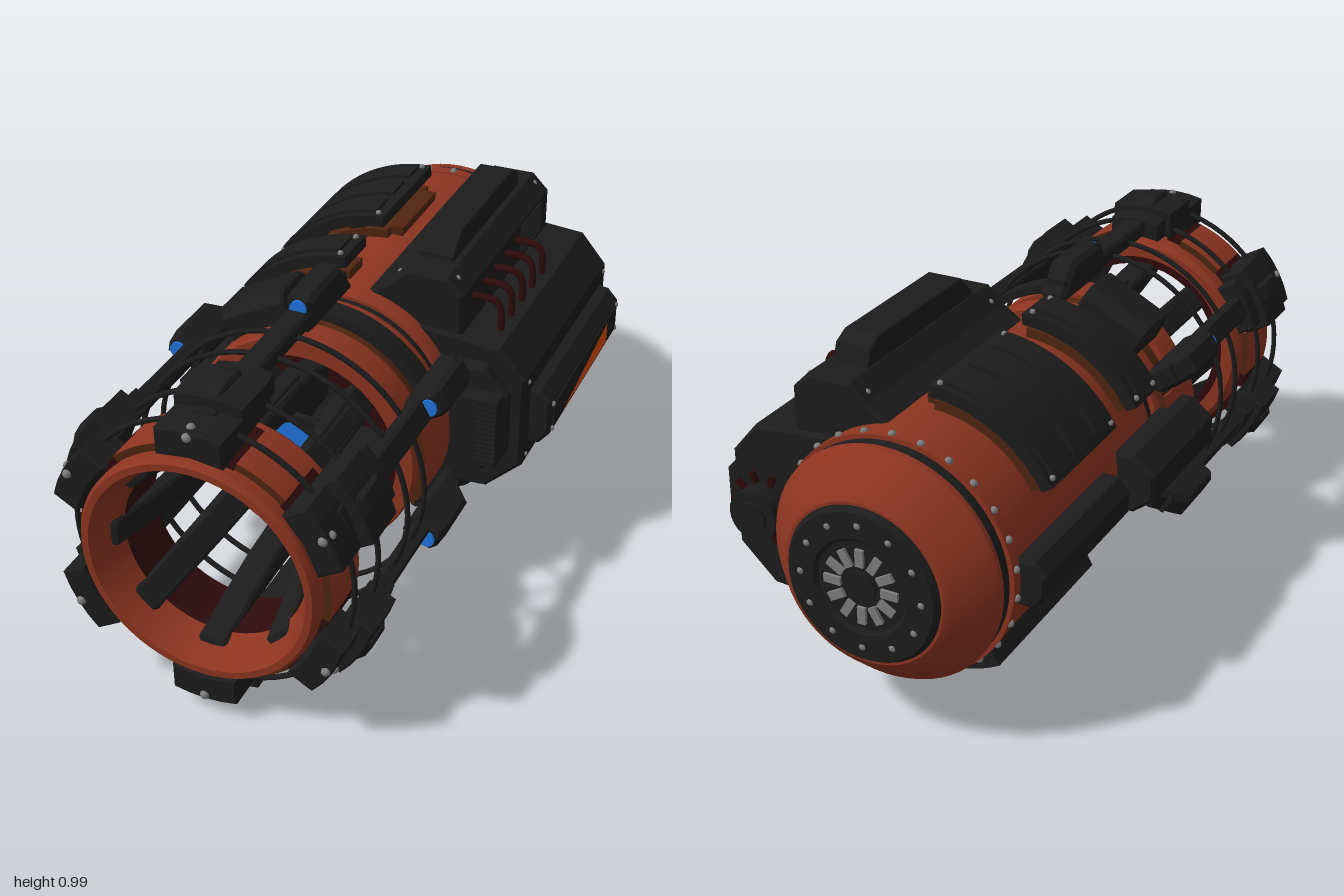
import * as THREE from 'three';
import { toCreasedNormals } from 'three/addons/utils/BufferGeometryUtils.js';

const mat = (name, color) => { const m = new THREE.MeshStandardMaterial({ color }); m.name = name; return m; };
const paint = mat('rustPaint', 0x8c3420), dark = mat('charcoal', 0x1c1c1c), brown = mat('brown', 0x502510),
  red = mat('darkRed', 0x2e0b0c), steel = mat('steel', 0x7e7e7e), blue = mat('blue', 0x1f74de), signal = mat('signalOrange', 0xdc4a08);

function add(parent, name, geo, material, x = 0, y = 0, z = 0) {
  const m = new THREE.Mesh(geo, material);
  m.name = name; m.position.set(x, y, z); parent.add(m);
  return m;
}
const box = (w, h, d) => new THREE.BoxGeometry(w, h, d);
const poly = pts => new THREE.Shape(pts.map(p => new THREE.Vector2(p[0], p[1])));
// bevelled prism along z
function prism(pts, z0, z1, b = 0.01) {
  const g = new THREE.ExtrudeGeometry(poly(pts), { depth: z1 - z0 - 2 * b, bevelEnabled: b > 0, bevelSize: b, bevelThickness: b, bevelOffset: -b, bevelSegments: 1 });
  return g.translate(0, 0, z0 + b);
}
// profile in (radius, z), extruded sideways around the radial +x direction
function radialPrism(pts, w, b = 0.008) {
  return prism(pts, -w / 2, w / 2, b).rotateX(Math.PI / 2);
}
// clamp block with parallel sides and a domed outer face
function saddle(r0, r1, h, z0, z1) {
  return prism([[r0, -h], [r1 - 0.012, -h], [r1 - 0.003, -h / 2], [r1, 0], [r1 - 0.003, h / 2], [r1 - 0.012, h], [r0, h], [r0 + 0.012, 0]], z0, z1, 0.005);
}
// curved plate from angle a0 to a1 (degrees)
function arc(r0, r1, a0, a1, z0, z1) {
  const s = new THREE.Shape(), k = Math.PI / 180;
  s.absarc(0, 0, r1, a0 * k, a1 * k, false);
  s.absarc(0, 0, r0, a1 * k, a0 * k, true);
  const g = new THREE.ExtrudeGeometry(s, { depth: z1 - z0, bevelEnabled: false, curveSegments: 20 });
  return toCreasedNormals(g.translate(0, 0, z0), 0.5);
}
// turned part around z, profile in (radius, z)
const lathe = pts => toCreasedNormals(new THREE.LatheGeometry(pts.map(p => new THREE.Vector2(p[0], p[1])), 64).rotateX(Math.PI / 2), 0.45);
const rod = (r, len, n = 24) => new THREE.CylinderGeometry(r, r, len, n).rotateX(Math.PI / 2);
const bolt = (r = 0.012) => new THREE.SphereGeometry(r, 8, 6);
function around(parent, n, start, build) {
  for (let i = 0; i < n; i++) {
    const g = new THREE.Group();
    g.rotation.z = start + i * 2 * Math.PI / n;
    parent.add(g); build(g, i);
  }
}

export function createModel() {
  const model = new THREE.Group();
  const core = new THREE.Group();
  core.name = 'core'; core.position.set(-0.08, 0.49, 0);
  model.add(core);

  // main barrel, rear cap and rings
  add(core, 'barrel', lathe([[0, -0.8], [0.345, -0.8], [0.345, 0.03], [0.335, 0.06], [0, 0.06]]), paint);
  add(core, 'rearFlange', lathe([[0.3, -0.825], [0.35, -0.825], [0.35, -0.79], [0.34, -0.79]]), paint);
  add(core, 'rearGroove', rod(0.337, 0.06, 48), dark, 0, 0, -0.845);
  add(core, 'rearCap', lathe([[0, -0.982], [0.235, -0.982], [0.255, -0.97], [0.33, -0.89], [0.34, -0.875], [0.34, -0.86], [0.325, -0.853], [0, -0.853]]), paint);
  add(core, 'neck', rod(0.325, 0.1, 48), dark, 0, 0, 0.08);
  add(core, 'middleCore', lathe([[0.29, 0.1], [0.328, 0.1], [0.328, 0.34], [0.29, 0.34]]), brown);
  for (const [z0, z1] of [[0.1, 0.185], [0.245, 0.35]])
    add(core, 'middleHoop', lathe([[0.32, z0], [0.34, z0], [0.345, z0 + 0.01], [0.345, z1 - 0.01], [0.34, z1], [0.29, z1]]), paint);
  add(core, 'middleLiner', lathe([[0.29, 0.349], [0.288, 0.1]]), red);
  add(core, 'frontRing', lathe([[0.29, 0.73], [0.33, 0.73], [0.345, 0.75], [0.345, 0.985], [0.335, 1], [0.315, 1], [0.308, 0.985], [0.268, 0.89]]), paint);
  add(core, 'frontRingLiner', lathe([[0.268, 0.89], [0.265, 0.73], [0.29, 0.73]]), red);
  add(core, 'innerBulkhead', rod(0.288, 0.08, 48), red, 0, 0, 0.16);
  add(core, 'innerStep', lathe([[0.2, 0.19], [0.225, 0.19], [0.225, 0.24], [0.2, 0.24], [0.19, 0.19]]), red);

  // rear plate with spokes
  add(core, 'rearPlate', lathe([[0, -0.99], [0.13, -0.99], [0.14, -1], [0.215, -1], [0.23, -0.978]]), dark);
  add(core, 'rearHub', rod(0.045, 0.02), dark, 0, 0, -0.99);
  around(core, 12, 0, g => {
    add(g, 'rearSpoke', box(0.05, 0.024, 0.014), steel, 0.085, 0, -0.992);
    add(g, 'rearBolt', bolt(0.012), steel, 0.18, 0, -0.994);
  });
  around(core, 26, 0.1, g => add(g, 'flangeBolt', bolt(0.011), steel, 0.35, 0, -0.808));

  // emitter and its eight curved arms
  add(core, 'emitterHousing', lathe([[0.13, 0.2], [0.13, 0.34], [0.11, 0.38], [0.088, 0.38], [0.085, 0.35]]), dark);
  add(core, 'emitterLens', rod(0.088, 0.04, 40), blue, 0, 0, 0.352);
  const armGeo = radialPrism([[0.1, 0.25], [0.22, 0.25], [0.25, 0.34], [0.262, 0.45], [0.265, 0.62], [0.275, 0.78], [0.292, 0.9], [0.292, 0.935],
    [0.268, 0.93], [0.235, 0.78], [0.205, 0.64], [0.19, 0.52], [0.178, 0.44], [0.15, 0.385], [0.1, 0.36]], 0.085);
  around(core, 8, 0, g => {
    add(g, 'arm', armGeo, dark);
    add(g, 'armRib', radialPrism([[0.2, 0.58], [0.272, 0.58], [0.272, 0.4], [0.2, 0.4]], 0.05, 0.004), dark);
    add(g, 'armBolt', bolt(), steel, 0.16, 0, 0.405);
  });

  // six clamps, long rails and rear feet
  const footGeo = radialPrism([[0.375, 0.08], [0.4, 0.08], [0.485, 0.15], [0.485, 0.32], [0.47, 0.35], [0.375, 0.35]], 0.08, 0.014);
  around(core, 6, Math.PI / 6, g => {
    add(g, 'rail', radialPrism([[0.39, 0.1], [0.44, 0.1], [0.44, 0.9], [0.39, 0.9]], 0.07), dark);
    add(g, 'railFoot', footGeo, dark);
    add(g, 'indicator', rod(0.025, 0.018, 16), blue, 0.446, 0, 0.349);
    add(g, 'clampRear', saddle(0.38, 0.45, 0.08, 0.66, 0.73), dark);
    add(g, 'clampBody', saddle(0.374, 0.472, 0.1, 0.72, 0.875), dark);
    add(g, 'clampCap', radialPrism([[0.44, 0.73], [0.47, 0.73], [0.485, 0.76], [0.485, 0.84], [0.47, 0.87], [0.44, 0.87]], 0.06), dark);
    add(g, 'clampFront', saddle(0.345, 0.437, 0.095, 0.865, 0.99), dark);
    add(g, 'clampBolt', bolt(0.014), steel, 0.42, 0, 0.988);
    add(g, 'clampSideBolt', bolt(0.012), steel, 0.435, 0, 0.965);
  });
  // raised ring segments between the clamps
  around(core, 6, 0, (g, i) => {
    add(g, 'frontSegment', arc(0.34, 0.366, -12, 12, 0.78, 0.95), [brown, paint]);
    for (const a of [-20, 12]) add(g, 'segmentEnd', arc(0.34, 0.364, a, a + 8, 0.79, 0.955), red);
    if (i % 3 === 0) {
      add(g, 'middleSegment', arc(0.32, 0.366, -20, 20, 0.13, 0.32), [brown, paint]);
      for (const a of [-23, 20]) add(g, 'middleSegmentEdge', arc(0.32, 0.36, a, a + 3, 0.13, 0.32), brown);
    }
  });
  for (const z of [0.43, 0.55, 0.75, 0.9]) add(core, 'thinHoop', new THREE.TorusGeometry(0.408, 0.008, 8, 72), dark, 0, 0, z);
  add(core, 'middleBand', arc(0.36, 0.385, 20, 88, 0.18, 0.25), dark);

  // curved armour plates over the left shoulder and underneath
  for (const [z0, z1] of [[-0.66, -0.27], [-0.14, 0.01]]) {
    add(core, 'shoulderPlate', arc(0.395, 0.43, 92, 150, z0, z1), dark);
    add(core, 'plateLiner', arc(0.34, 0.372, 92, 150, z0 + 0.03, z1 - 0.03), brown);
    for (const a of [108, 134]) add(core, 'plateMount', arc(0.37, 0.4, a - 4, a + 4, z0 + 0.04, z1 - 0.04), dark);
    const n = z1 - z0 > 0.2 ? 3 : 1;
    if (n === 3) add(core, 'linerEdge', arc(0.34, 0.372, 86, 92, z0 + 0.06, z1 - 0.06), brown);
    for (let i = 0; i < n; i++) {
      const c = z0 + (z1 - z0) * (i + 0.5) / n;
      add(core, 'plateRidge', arc(0.42, 0.44, 96, 146, c - 0.045, c + 0.045), dark);
    }
    for (const a of [95, 147]) for (const z of [z0 + 0.02, z1 - 0.02]) {
      const t = a * Math.PI / 180;
      add(core, 'plateBolt', bolt(0.009), steel, 0.432 * Math.cos(t), 0.432 * Math.sin(t), z);
    }
  }
  add(core, 'bellyPlate', arc(0.34, 0.435, 240, 300, -0.66, -0.07), dark);
  const shoulder = new THREE.Group();
  shoulder.rotation.z = 2.05; core.add(shoulder);
  add(shoulder, 'shoulderBlock', radialPrism([[0.32, 0.1], [0.4, 0.1], [0.43, 0.13], [0.43, 0.25], [0.4, 0.28], [0.32, 0.28]], 0.22), dark);

  // left-hand side bars
  add(model, 'rearSideBar', prism([[-0.41, 0.42], [-0.47, 0.42], [-0.5, 0.46], [-0.5, 0.52], [-0.47, 0.56], [-0.41, 0.56]], -0.79, -0.27), dark);
  add(model, 'sideBlock', prism([[-0.41, 0.4], [-0.47, 0.4], [-0.535, 0.45], [-0.535, 0.53], [-0.47, 0.58], [-0.41, 0.58]], -0.19, 0.25), dark);

  // large side housing with layered panel
  const housing = new THREE.Group();
  housing.name = 'sideHousing'; model.add(housing);
  add(housing, 'sideBox', prism([[0.1, 0.76], [0.39, 0.735], [0.47, 0.64], [0.47, 0.35], [0.36, 0.245], [0.1, 0.23]], -0.765, 0.02), dark);
  add(housing, 'sidePanel', prism([[0.44, 0.39], [0.5, 0.4], [0.532, 0.44], [0.532, 0.545], [0.5, 0.58], [0.44, 0.59]], -0.72, -0.04), dark);
  add(housing, 'panelInset', box(0.006, 0.085, 0.62), dark, 0.533, 0.4925, -0.38);
  const flash = new THREE.ShapeGeometry(poly([[0.15, 0.458], [0.59, 0.458], [0.59, 0.526]])).rotateY(Math.PI / 2);
  add(housing, 'warningFlash', flash, signal, 0.538, 0, 0);
  for (const z of [-0.065, -0.695]) for (const y of [0.45, 0.535]) add(housing, 'panelBolt', bolt(0.009), steel, 0.532, y, z);
  for (const z of [-0.02, -0.74]) for (const y of [0.37, 0.62]) add(housing, 'sideBolt', bolt(0.008), steel, 0.469, y, z);
  add(housing, 'frontBlock', prism([[0.24, 0.37], [0.36, 0.33], [0.43, 0.4], [0.43, 0.6], [0.36, 0.68], [0.24, 0.68]], 0, 0.06), dark);
  add(housing, 'frontStub', box(0.11, 0.22, 0.07), dark, 0.365, 0.5, 0.08);
  for (let i = 0; i < 12; i++) add(housing, 'frontVent', box(0.06, 0.006, 0.008), dark, 0.39, 0.41 + i * 0.016, 0.117);
  add(housing, 'rearKnob', rod(0.075, 0.07), dark, 0.37, 0.49, -0.795);
  add(housing, 'rearKnobCap', rod(0.045, 0.03), dark, 0.37, 0.49, -0.825);
  around(housing, 10, 0, g => {
    g.position.set(0.37, 0.49, -0.772);
    add(g, 'knobSpike', box(0.04, 0.014, 0.014), red, 0.088, 0, 0);
  });

  // upper housing with ridge and red pipes
  const upper = new THREE.Group();
  upper.name = 'upperHousing'; model.add(upper);
  add(upper, 'upperBox', prism([[-0.02, 0.78], [-0.02, 0.83], [0.04, 0.87], [0.09, 0.92], [0.22, 0.92], [0.27, 0.87], [0.27, 0.7], [0.1, 0.7]], -0.75, 0.01), dark);
  // ridge profile in (-z, y), turned to run along z
  const ridge = prism([[0.09, 0.91], [0.09, 0.935], [0.15, 0.992], [0.59, 0.992], [0.635, 0.97], [0.655, 0.91]], -0.054, 0.054, 0.003).rotateY(Math.PI / 2);
  add(upper, 'topRidge', ridge, dark, 0.148, 0, 0);
  for (const z of [-0.04, -0.71]) for (const x of [0.06, 0.235]) add(upper, 'upperBolt', bolt(0.009), steel, x, x < 0.1 ? 0.885 : 0.9, z);
  for (let i = 0; i < 7; i++) add(upper, 'upperVent', box(0.01, 0.007, 0.19), dark, 0.271, 0.765 + i * 0.015, -0.58);
  const path = new THREE.CatmullRomCurve3([[0.25, 0.832], [0.315, 0.832], [0.342, 0.825], [0.355, 0.8], [0.355, 0.7]].map(p => new THREE.Vector3(p[0], p[1], 0)));
  const pipe = new THREE.TubeGeometry(path, 20, 0.011, 8);
  for (let i = 0; i < 5; i++) add(upper, 'redPipe', pipe, red, 0, 0, -0.08 - i * 0.092);

  // lower housing with canister
  const lower = new THREE.Group();
  lower.name = 'lowerHousing'; model.add(lower);
  add(lower, 'lowerBox', prism([[-0.1, 0.12], [-0.02, 0.045], [0.1, 0.045], [0.25, 0.17], [0.33, 0.26], [0.15, 0.3]], -0.655, -0.06), dark);
  add(lower, 'canister', new THREE.CapsuleGeometry(0.052, 0.31, 6, 20).rotateX(Math.PI / 2), dark, 0.198, 0.115, -0.36);
  add(lower, 'lowerSkid', box(0.12, 0.025, 0.42), dark, 0.05, 0.036, -0.36);
  for (const z of [-0.1, -0.615]) add(lower, 'lowerLug', rod(0.02, 0.05, 12), dark, 0.1, 0.05, z);
  return model;
}
